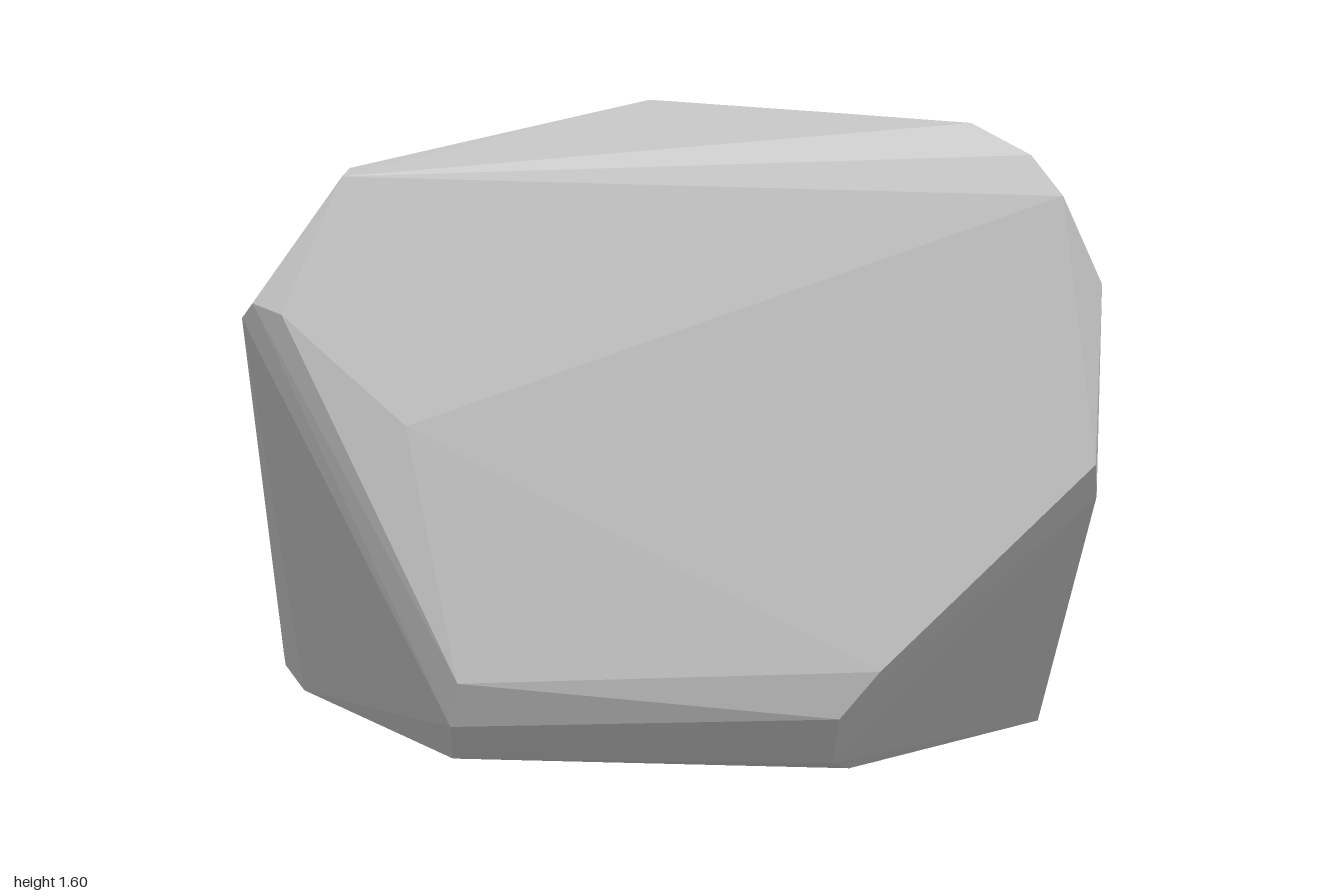
import * as THREE from 'three';
import { ConvexGeometry } from 'three/addons/geometries/ConvexGeometry.js';

// Faceted boulder: the convex skin around a few groups of corner points.
const crown = [
  [0.01, 1.575, -0.7], [0.475, 1.58, 0.05], [0.7, 1.595, 0.68],
  [-0.73, 1.48, 0.72], [-0.73, 1.48, 0.47], [-0.23, 1.48, -0.5],
  [0.01, 1.48, -0.76], [0.52, 1.48, -0.02],
];
const frontRightRim = [
  [0.82, 1.53, 0.795], [0.89, 1.44, 0.82], [1, 1.23, 0.73],
  [0.975, 0.83, 0.84], [1, 0.735, 0.73],
];
const frontLeftRim = [
  [-0.94, 1.19, 0.7], [-0.97, 1.15, 0.65], [-0.87, 1.17, 0.75], [-0.59, 0.92, 0.795],
];
const frontFoot = [
  [0.49, 0.35, 0.84], [0.4, 0.23, 0.81], [0.4, 0.085, 0.67], [0.45, 0.04, 0.56],
  [0.5, 0.03, 0.48], [-0.48, 0.32, 0.8], [-0.5, 0.2, 0.735], [-0.5, 0.085, 0.6],
];
const base = [
  [1, 0, 0], [1, 0, -0.51], [0.75, 0, -0.76], [0.53, 0, -0.745],
  [-1, 0.09, -0.46], [-0.97, 0.115, -0.2], [-0.9, 0.11, 0.045],
];
const back = [
  [-0.23, 1.245, -0.76], [0.01, 1.08, -0.84], [0.14, 0.54, -0.838],
  [0.46, 0.22, -0.83], [-0.72, 0.26, -0.76],
];

export function createModel() {
  const group = new THREE.Group();
  group.name = 'boulder';
  const stone = new THREE.MeshStandardMaterial({ color: 0xc8c8c8 });
  stone.name = 'grey stone';
  stone.flatShading = true;

  const corners = [crown, frontRightRim, frontLeftRim, frontFoot, base, back]
    .flat()
    .map((p) => new THREE.Vector3(...p));
  const rock = new THREE.Mesh(new ConvexGeometry(corners), stone);
  rock.name = 'rock';
  group.add(rock);
  return group;
}
